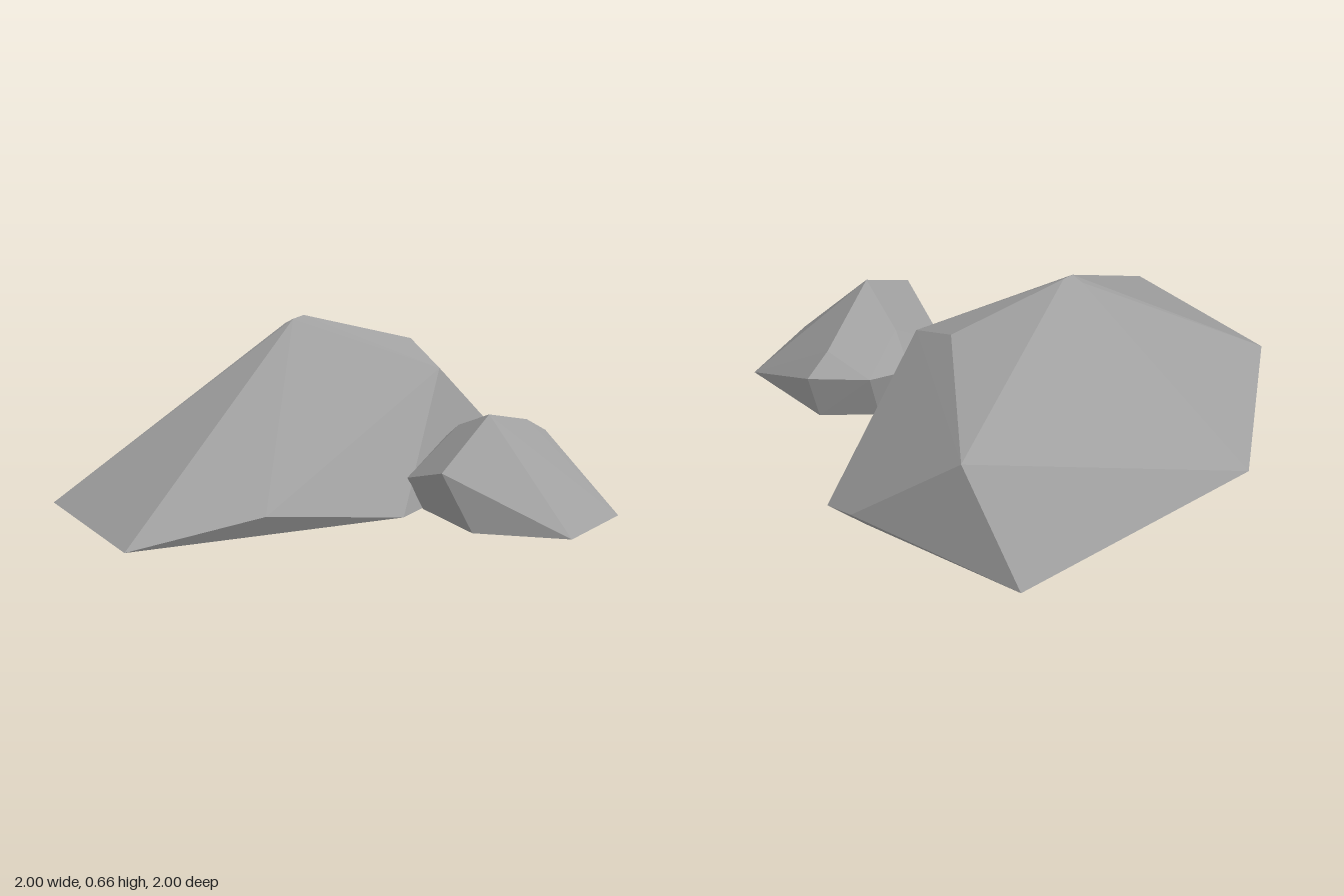
import * as THREE from 'three';
import { ConvexGeometry } from 'three/addons/geometries/ConvexGeometry.js';

// Faceted boulder: the convex hull of a few corner points
function boulder(name, corners, material) {
  const geometry = new ConvexGeometry(corners.map((c) => new THREE.Vector3(...c)));
  const mesh = new THREE.Mesh(geometry, material);
  mesh.name = name;
  return mesh;
}

export function createModel() {
  const group = new THREE.Group();
  group.name = 'rocks';
  const stone = new THREE.MeshStandardMaterial({ color: 0xa0a0a0, flatShading: true });
  stone.name = 'grey stone';

  group.add(boulder('largeRock', [
    // peak and ridge
    [-0.26, 0.66, -0.09], [-0.28, 0.65, -0.04], [-0.32, 0.63, -0.05],
    [0.07, 0.55, -0.38], [0.24, 0.46, -0.27], [-0.13, 0.44, -0.9],
    // low flanks
    [-0.36, 0.02, -1], [0.29, 0.07, -0.86], [-0.01, 0.08, 0.67],
    // foot
    [0.42, 0, -0.77], [0.31, 0, 0.23], [-0.36, 0, 1], [-0.95, 0, 0.62],
    [-1, 0, -0.17], [-0.36, 0, -0.94], [0.26, 0, -0.82],
  ], stone));

  group.add(boulder('smallRock', [
    // peak and ridge
    [0.58, 0.38, 0.1], [0.6, 0.29, -0.27], [0.4, 0.29, -0.07],
    // shoulders
    [0.64, 0.23, -0.38], [0.42, 0.22, -0.31], [0.3, 0.21, -0.2],
    [0.28, 0.12, 0.13], [0.51, 0.22, 0.37],
    // foot
    [0.61, 0.01, 0.33], [0.93, 0, 0.22], [1, 0, -0.13],
    [0.64, 0, -0.31], [0.42, 0, -0.24], [0.33, 0, 0.1],
  ], stone));

  return group;
}
